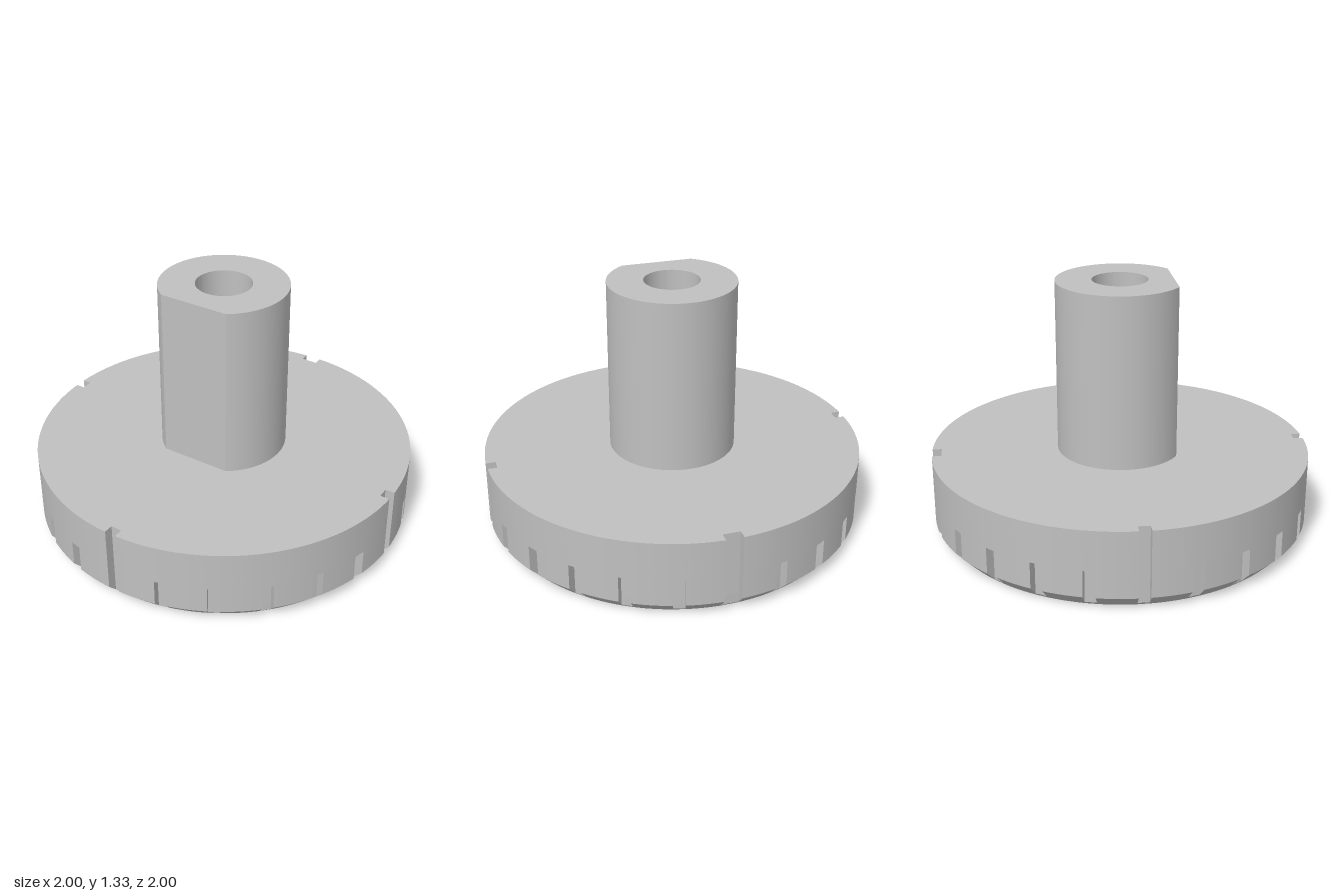
import * as THREE from 'three';
import { toCreasedNormals } from 'three/addons/utils/BufferGeometryUtils.js';

const SLOTS = 24, FLOOR = 0.95;
const BASE_R = 0.935, RIM_R = 1;
const Y_SLOT = 0.016, Y_CHAMFER = 0.07, Y_SHORT = 0.21, Y_DISC = 0.42, Y_TOP = 1.333;

// Point on a circle, as (x, z), with angle 0 at the back
const polar = (r, a, cx = 0, cz = 0) => new THREE.Vector2(cx + r * Math.sin(a), cz - r * Math.cos(a));

function circle(r, n = 96, cx = 0, cz = 0) {
  return Array.from({ length: n }, (_, i) => polar(r, (i / n) * Math.PI * 2, cx, cz));
}

// Four corners of a slot: outer, inner, inner, outer (the back slot is wider)
function slotCorners(k, r) {
  const half = k === 0 ? 0.045 : 0.03, a = (k / SLOTS) * Math.PI * 2;
  const floor = Math.min(FLOOR, Math.sqrt(r * r - half * half));
  const outer = Math.asin(half / r), inner = Math.atan2(half, floor), ri = Math.hypot(half, floor);
  return [polar(r, a - outer), polar(ri, a - inner), polar(ri, a + inner), polar(r, a + outer)];
}

// Rim outline with a slot at every position accepted by isSlot
function rimOutline(r, isSlot) {
  const pts = [], step = (Math.PI * 2) / SLOTS;
  for (let k = 0; k < SLOTS; k++) {
    const c = slotCorners(k, r);
    pts.push(...(isSlot(k) ? c : [c[0], c[3]]));
    const d0 = Math.asin((k === 0 ? 0.045 : 0.03) / r);
    const d1 = Math.asin((k === SLOTS - 1 ? 0.045 : 0.03) / r);
    const from = k * step + d0, to = (k + 1) * step - d1;
    for (let i = 1; i < 7; i++) pts.push(polar(r, from + ((to - from) * i) / 7));
  }
  return pts;
}

// Wall between two outlines with equal point counts
function wall(low, y0, high, y1, inward = false) {
  const pos = [];
  const n = low.length;
  for (let i = 0; i < n; i++) {
    const j = (i + 1) % n;
    const a = [low[i].x, y0, low[i].y], b = [low[j].x, y0, low[j].y];
    const c = [high[j].x, y1, high[j].y], d = [high[i].x, y1, high[i].y];
    if (inward) pos.push(...a, ...b, ...c, ...a, ...c, ...d);
    else pos.push(...a, ...d, ...c, ...a, ...c, ...b);
  }
  const g = new THREE.BufferGeometry();
  g.setAttribute('position', new THREE.Float32BufferAttribute(pos, 3));
  return toCreasedNormals(g, 0.4);
}

// Flat face with holes, looking up or down
function face(outline, holes, y, up) {
  const s = up ? -1 : 1;
  const flip = (pts) => pts.map((p) => new THREE.Vector2(p.x, p.y * s));
  const shape = new THREE.Shape(flip(outline));
  shape.holes = holes.map((h) => new THREE.Path(flip(h)));
  return new THREE.ShapeGeometry(shape).rotateX((s * Math.PI) / 2).translate(0, y, 0);
}

export function createModel() {
  const model = new THREE.Group();
  const grey = new THREE.MeshStandardMaterial({ color: 0xc0c0c0 });
  grey.name = 'plain grey';
  const group = (name) => {
    const g = new THREE.Group();
    g.name = name;
    model.add(g);
    return g;
  };
  const add = (parent, name, geometry) => {
    const m = new THREE.Mesh(geometry, grey);
    m.name = name;
    parent.add(m);
  };

  const every = () => true, none = () => false, quarter = (k) => k % 6 === 0;

  // Shaft outline: a circle with a flat at the front
  const shaftR = 0.333, end = Math.acos(-0.275 / shaftR);
  const shaft = Array.from({ length: 81 }, (_, i) => polar(shaftR, -end + (2 * end * i) / 80));
  const bore = circle(0.145), counterbore = circle(0.265), pin = circle(0.075, 40, 0, -0.82);

  // Disc with chamfered lower edge and slotted rim
  const disc = group('disc');
  add(disc, 'chamferFoot', wall(rimOutline(BASE_R, none), 0, rimOutline(0.95, none), Y_SLOT));
  add(disc, 'slottedChamfer', wall(rimOutline(0.95, every), Y_SLOT, rimOutline(RIM_R, every), Y_CHAMFER));
  const slotted = rimOutline(RIM_R, every), upper = rimOutline(RIM_R, quarter);
  add(disc, 'slottedRim', wall(slotted, Y_CHAMFER, slotted, Y_SHORT));
  add(disc, 'upperRim', wall(upper, Y_SHORT, upper, Y_DISC));
  for (let k = 0; k < SLOTS; k++) {
    if (!quarter(k)) add(disc, 'slotCeiling', face(slotCorners(k, RIM_R), [], Y_SHORT, false));
  }
  add(disc, 'discTop', face(upper, [shaft], Y_DISC, true));
  add(disc, 'discUnderside', face(rimOutline(BASE_R, none), [counterbore, pin], 0, false));

  // Shaft with flat
  const post = group('shaft');
  add(post, 'shaftWall', wall(shaft, Y_DISC, shaft, Y_TOP));
  add(post, 'shaftTop', face(shaft, [bore], Y_TOP, true));

  // Central bore, wider below, and a shallow locating hole
  const holes = group('holes');
  add(holes, 'counterboreWall', wall(counterbore, 0, counterbore, 0.24, true));
  add(holes, 'counterboreCeiling', face(counterbore, [bore], 0.24, false));
  add(holes, 'boreWall', wall(bore, 0.24, bore, Y_TOP, true));
  add(holes, 'locatingHoleWall', wall(pin, 0, pin, 0.04, true));
  add(holes, 'locatingHoleCeiling', face(pin, [], 0.04, false));

  return model;
}
